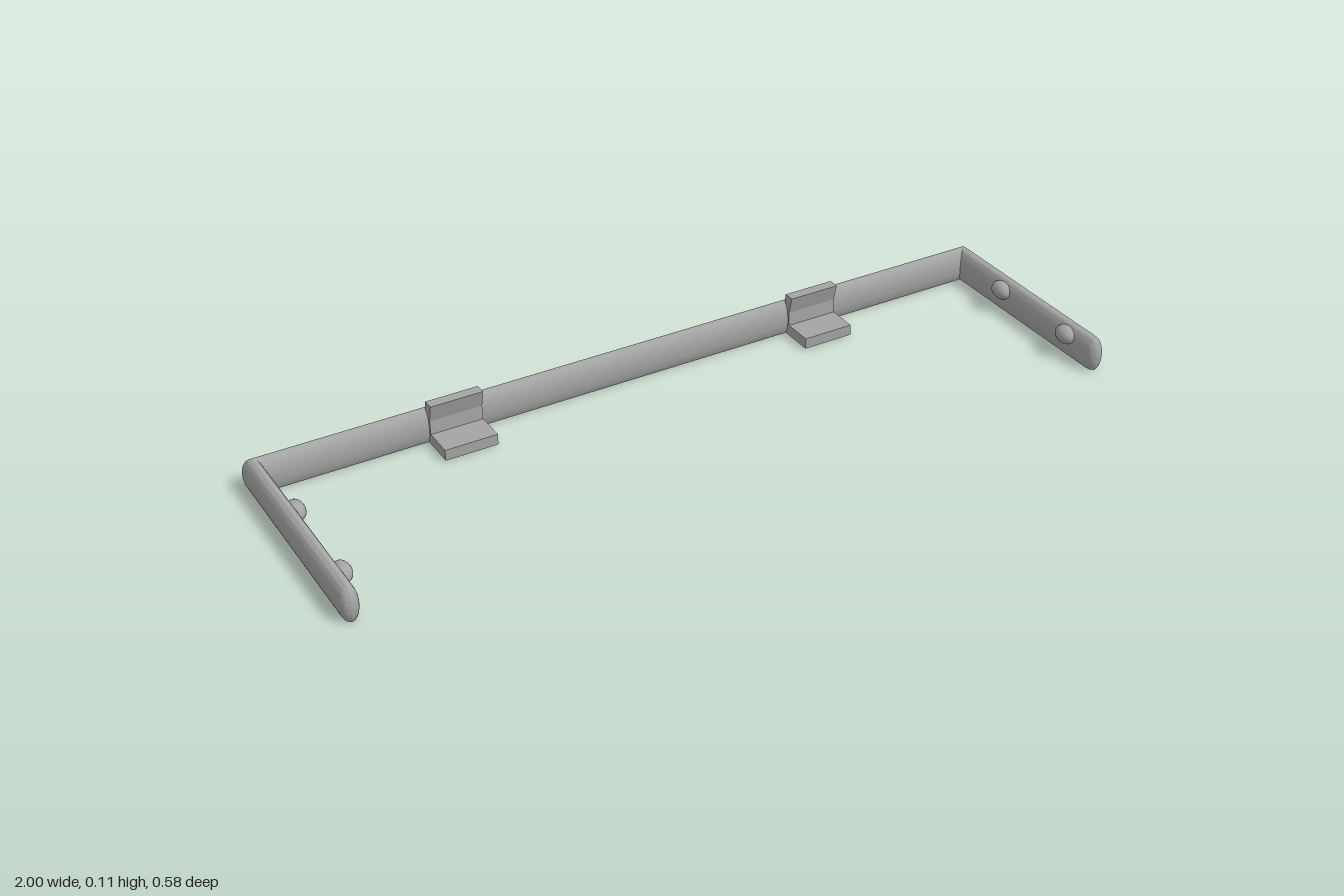
import * as THREE from 'three';
import { toCreasedNormals } from 'three/addons/utils/BufferGeometryUtils.js';

const HALF_W = 0.022, HALF_H = 0.048, MID_Y = 0.04; // oval tube section, flat underneath
const LEG_X = 1 - HALF_W, BAR_Z = 0.29 - HALF_W;
const SIDES = 40, CAP_STEPS = 8, CAP = 0.027;

// U-shaped tube: domed leg tip, mitred corner, crossbar, mitred corner, domed leg tip
function tubeGeometry() {
  const half = [];
  for (let i = 0; i <= CAP_STEPS; i++) {
    const a = (i / CAP_STEPS) * Math.PI / 2;
    half.push({ s: Math.sin(a), z: 0.29 - CAP + CAP * Math.cos(a), mitre: 0 });
  }
  half.push({ s: 1, z: -BAR_Z, mitre: 1 });
  const rings = [
    ...half.map(r => ({ ...r, side: 1 })),
    ...half.slice().reverse().map(r => ({ ...r, side: -1 })),
  ];
  const pos = [], index = [], row = SIDES + 1;
  rings.forEach((r, i) => {
    for (let j = 0; j <= SIDES; j++) {
      const a = (j / SIDES) * Math.PI * 2;
      const u = HALF_W * r.s * Math.cos(a);
      const y = Math.max(0, MID_Y + HALF_H * r.s * Math.sin(a));
      pos.push(r.side * (LEG_X + u), y, r.z - r.mitre * u);
      if (i && j) {
        const p = (i - 1) * row + j - 1, q = i * row + j - 1;
        index.push(p, q, q + 1, p, q + 1, p + 1);
      }
    }
  });
  const g = new THREE.BufferGeometry();
  g.setAttribute('position', new THREE.Float32BufferAttribute(pos, 3));
  g.setIndex(index);
  return toCreasedNormals(g, 0.6);
}

// L-shaped mounting bracket: profile in (z, y), extruded along x
function bracketGeometry(width) {
  const s = new THREE.Shape([
    [-0.262, 0.002], [-0.163, 0.002], [-0.163, 0.03], [-0.24, 0.03],
    [-0.242, 0.065], [-0.231, 0.11], [-0.259, 0.11], [-0.265, 0.07],
  ].map(([z, y]) => new THREE.Vector2(-z, y)));
  const g = new THREE.ExtrudeGeometry(s, { depth: width, bevelEnabled: false });
  g.translate(0, 0, -width / 2);
  g.rotateY(Math.PI / 2); // shape x becomes -z
  return g;
}

export function createModel() {
  const model = new THREE.Group();
  model.name = 'mountingBar';
  const metal = new THREE.MeshStandardMaterial({ color: 0xa4a4a4 });
  metal.name = 'grey metal';

  const add = (name, geometry, x = 0, y = 0, z = 0) => {
    const m = new THREE.Mesh(geometry, metal);
    m.name = name;
    m.position.set(x, y, z);
    model.add(m);
    return m;
  };

  add('tubeFrame', tubeGeometry());

  const bracket = bracketGeometry(0.134);
  add('rightBracket', bracket, -0.494);
  add('leftBracket', bracket, 0.489);

  // Domed studs on the inner faces of the legs
  const stud = new THREE.SphereGeometry(1, 24, 16);
  for (const side of [-1, 1]) {
    for (const z of [-0.073, 0.184]) {
      add(side > 0 ? 'leftStud' : 'rightStud', stud, side * 0.957, 0.06, z)
        .scale.set(0.022, 0.023, 0.031);
    }
  }
  return model;
}
